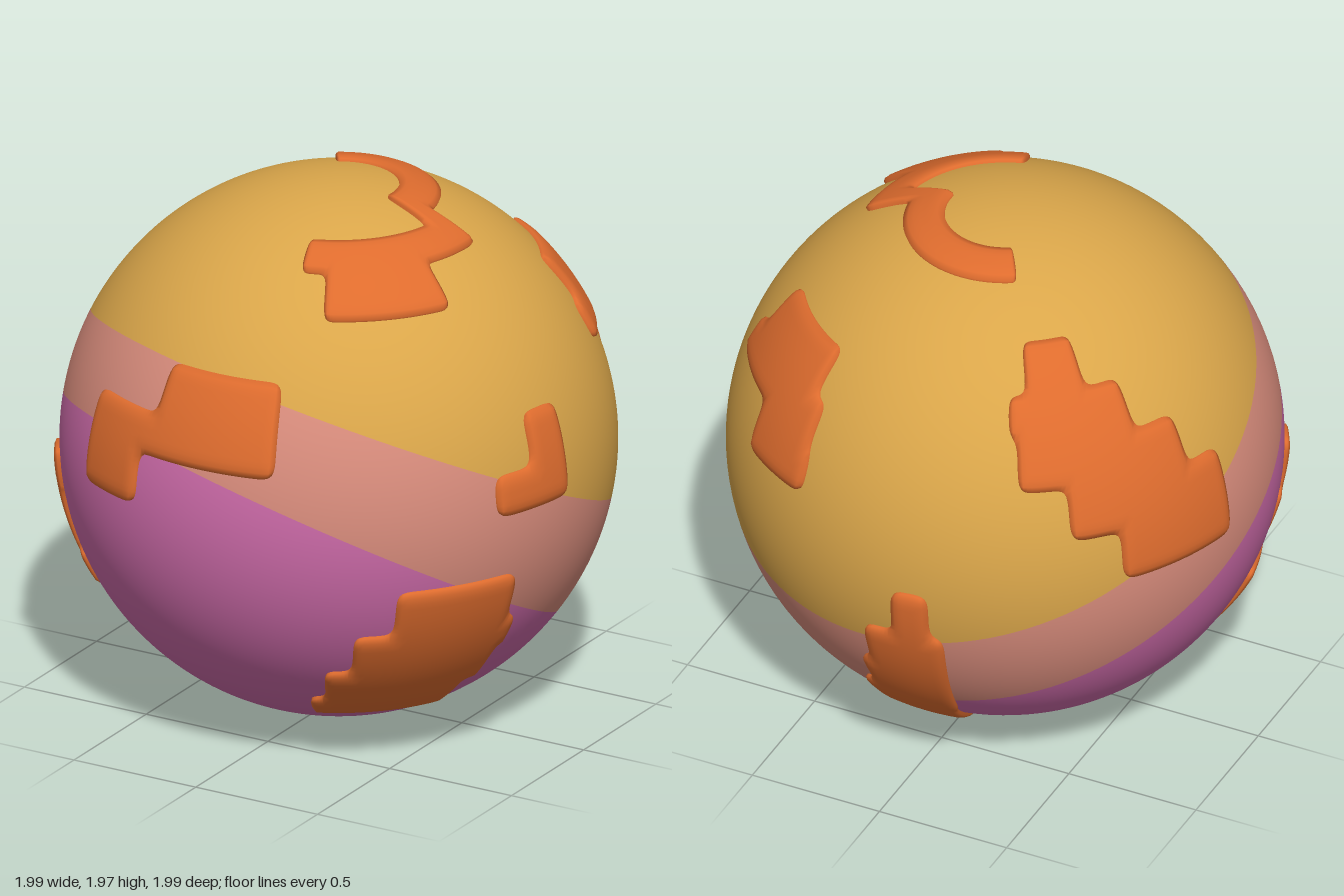
import * as THREE from 'three';

const R = 0.987;
const CENTER = new THREE.Vector3(-0.003, 0.998, 0.004);
const ROW = 11.25; // height of one latitude row, degrees
const SUB = 9; // cells per row
const paint = (name, color) => {
  const m = new THREE.MeshStandardMaterial({ color });
  m.name = name;
  return m;
};

// Point on a globe: longitude 0 faces +z, 90 faces +x
function onGlobe(lon, lat, r) {
  const a = THREE.MathUtils.degToRad(lon), b = THREE.MathUtils.degToRad(lat);
  return [r * Math.cos(b) * Math.sin(a), r * Math.sin(b), r * Math.cos(b) * Math.cos(a)];
}

function makeGeometry(positions, index) {
  const g = new THREE.BufferGeometry();
  g.setAttribute('position', new THREE.Float32BufferAttribute(positions, 3));
  g.setIndex(index);
  g.computeVertexNormals();
  return g;
}

// Colour bands: sphere cut by two tilted planes  y = a + b x + c z
const axis = new THREE.Vector3(0.2, 1, -0.46).normalize();
const U = new THREE.Vector3(0, 0, 1).cross(axis).normalize();
const V = new THREE.Vector3().crossVectors(U, axis); // U, axis, V frame

function cutAngle([a, b, c], side) {
  const n = new THREE.Vector3(-b, 1, -c);
  const p = n.dot(axis), q = n.dot(side);
  return Math.atan2(q, p) + Math.acos(a / R / Math.hypot(p, q));
}

function bandGeometry(upper, lower, rows) {
  const cols = 128, pos = [], normals = [], index = [];
  for (let j = 0; j <= rows; j++) {
    for (let i = 0; i <= cols; i++) {
      const phi = (i / cols) * Math.PI * 2;
      const side = U.clone().multiplyScalar(Math.cos(phi)).addScaledVector(V, Math.sin(phi));
      const t0 = upper ? cutAngle(upper, side) : 0;
      const t1 = lower ? cutAngle(lower, side) : Math.PI;
      const t = t0 + (t1 - t0) * (j / rows);
      const d = axis.clone().multiplyScalar(Math.cos(t)).addScaledVector(side, Math.sin(t));
      normals.push(d.x, d.y, d.z);
      pos.push(d.x * R, d.y * R, d.z * R);
      if (j < rows && i < cols) {
        const k = j * (cols + 1) + i, m = k + cols + 1;
        index.push(k, k + 1, m, k + 1, m + 1, m);
      }
    }
  }
  // Make sure the faces look outward
  const P = (k) => new THREE.Vector3().fromArray(pos, k * 3);
  const s = (Math.floor(rows / 2) * cols + 5) * 6;
  const [A, B, C] = [P(index[s]), P(index[s + 1]), P(index[s + 2])];
  if (B.sub(A).cross(C.sub(A)).dot(A) < 0) index.reverse();
  const g = makeGeometry(pos, index);
  g.setAttribute('normal', new THREE.Float32BufferAttribute(normals, 3));
  return g;
}

// Raised plate: rows of [west, east] longitudes, going down from row number `top`
function plateGeometry(top, rows) {
  const inRow = (lon, lat) => {
    const span = rows[top - Math.floor(lat / ROW)];
    return !!span && lon > span[0] && lon < span[1];
  };
  const step = ROW / SUB;
  const filled = (i, j) => {
    const lat = (j + 0.5) * step;
    return inRow(i + 0.5, lat + 0.9) && inRow(i + 0.5, lat - 0.9);
  };
  const verts = new Map(), faces = [], rim = [];
  const vert = (i, j) => {
    const key = i + ',' + j;
    if (!verts.has(key)) verts.set(key, { id: verts.size, lon: i, lat: j * step, ring: 2, near: [] });
    return verts.get(key);
  };
  const west = Math.min(...rows.map((r) => r[0])), east = Math.max(...rows.map((r) => r[1]));
  for (let j = (top - rows.length + 1) * SUB; j < (top + 1) * SUB; j++) {
    for (let i = west; i < east; i++) {
      if (!filled(i, j)) continue;
      const c = [vert(i, j), vert(i + 1, j), vert(i + 1, j + 1), vert(i, j + 1)];
      faces.push(c);
      [[0, -1], [1, 0], [0, 1], [-1, 0]].forEach(([di, dj], k) => {
        if (!filled(i + di, j + dj)) rim.push([c[k], c[(k + 1) % 4]]);
      });
    }
  }
  // Round the outline by relaxing the rim, then let the inside follow
  for (const [p, q] of rim) {
    p.ring = q.ring = 0;
    p.near.push(q);
    q.near.push(p);
  }
  for (const c of faces) {
    if (c.some((v) => v.ring === 0)) c.forEach((v) => { if (v.ring) v.ring = 1; });
    c.forEach((v, k) => { if (v.ring) v.near.push(c[(k + 1) % 4], c[(k + 3) % 4]); });
  }
  for (let n = 0; n < 6; n++) {
    const next = [...verts.values()].map((v) => {
      const mean = (f) => v.near.reduce((s, w) => s + w[f], 0) / v.near.length;
      return [v, (v.lon + mean('lon')) / 2, (v.lat + mean('lat')) / 2];
    });
    for (const [v, lon, lat] of next) Object.assign(v, { lon, lat });
  }
  // Bevelled top and side walls that sink into the globe
  const lift = [0.011, 0.019, 0.022];
  const pos = [], index = [], n = verts.size;
  for (const v of verts.values()) pos.push(...onGlobe(v.lon, v.lat, R + lift[v.ring]));
  for (const v of verts.values()) pos.push(...onGlobe(v.lon, v.lat, R - 0.012));
  for (const [a, b, c, d] of faces) index.push(a.id, b.id, c.id, a.id, c.id, d.id);
  for (const [p, q] of rim) index.push(p.id, p.id + n, q.id, q.id, p.id + n, q.id + n);
  return makeGeometry(pos, index);
}

const PLATES = [
  ['frontPlate', 2, [[-13, 17], [-33, 17], [-33, -16]]],
  ['leftSmallPlate', 1, [[75, 85], [65, 85]]],
  ['leftLowerPlate', -2, [[43, 71], [34, 74], [27, 72], [22, 68]]],
  ['rightLowerPlate', -1, [[-64, -56], [-67, -57], [-81, -54], [-81, -67]]],
  ['rightBackPlate', 4, [[-148, -131], [-153, -121], [-151, -110], [-140, -101], [-129, -101]]],
  ['topPlate', 6, [[82, 213], [16, 95], [26, 66]]],
  ['backLowerPlate', -1, [[182, 190], [175, 193], [172, 193], [168, 193], [166, 192], [165, 192]]],
  ['leftBackPlate', 3, [[120, 153], [116, 157], [138, 158]]],
];

export function createModel() {
  const group = new THREE.Group();
  group.name = 'bandedGlobe';
  const add = (name, geometry, material) => {
    const mesh = new THREE.Mesh(geometry, material);
    mesh.name = name;
    mesh.position.copy(CENTER);
    group.add(mesh);
  };

  // Globe in three colour bands
  const upperCut = [0.143, -0.175, 0.44], lowerCut = [-0.28, -0.246, 0.487];
  add('upperBand', bandGeometry(null, upperCut, 48), paint('gold', 0xdaa64a));
  add('middleBand', bandGeometry(upperCut, lowerCut, 16), paint('salmon', 0xd88c7c));
  add('lowerBand', bandGeometry(lowerCut, null, 40), paint('magenta', 0xcc6aa8));

  // Raised land plates
  const orange = paint('orange', 0xde6c2e);
  for (const [name, top, rows] of PLATES) add(name, plateGeometry(top, rows), orange);
  return group;
}
